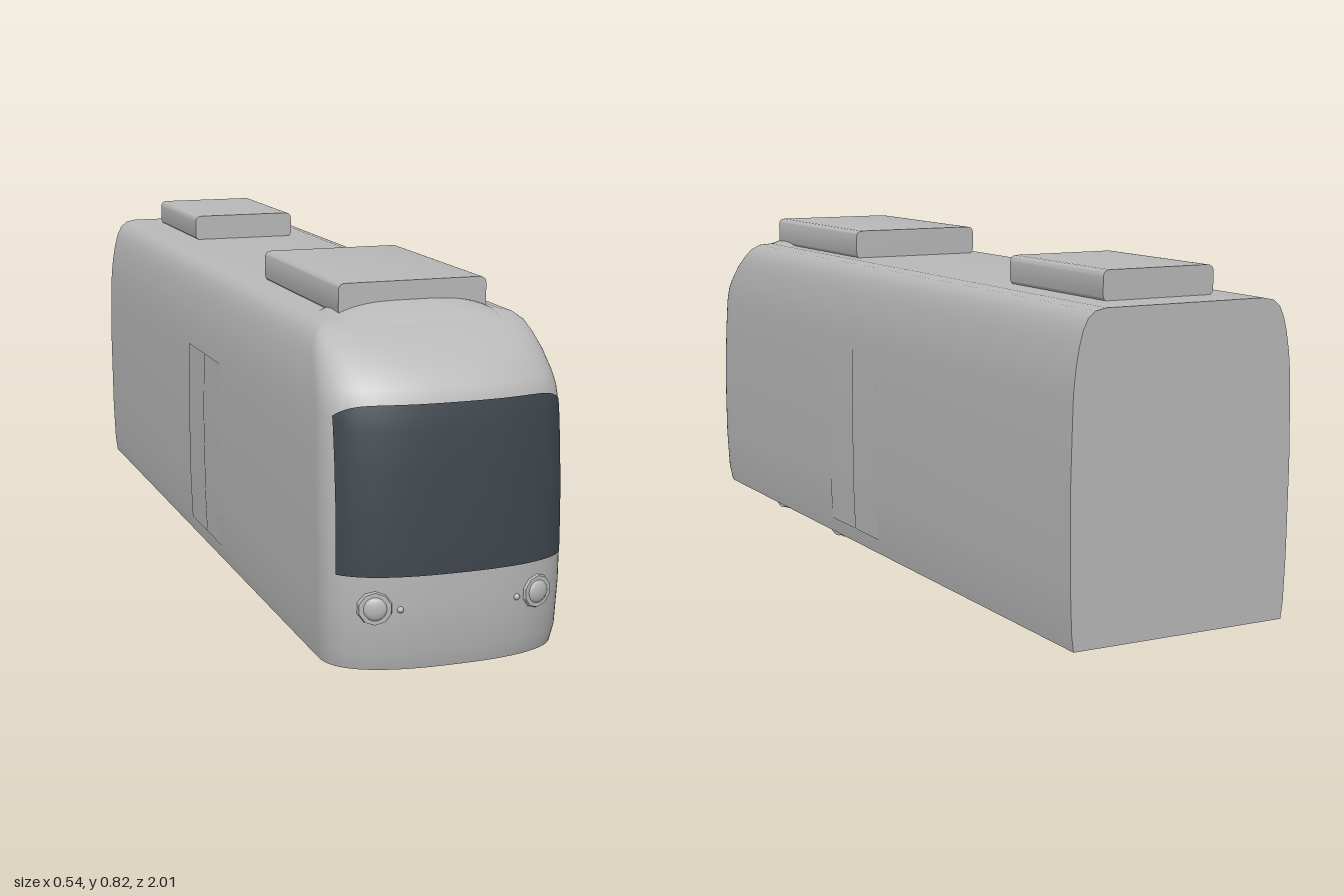
import * as THREE from 'three';
import { toCreasedNormals } from 'three/addons/utils/BufferGeometryUtils.js';

const paint = new THREE.MeshStandardMaterial({ color: 0xb8b8b8, side: THREE.DoubleSide });
paint.name = 'greyPaint';
const glass = new THREE.MeshStandardMaterial({ color: 0x3f474d, side: THREE.DoubleSide });
glass.name = 'darkGlass';

// Hull profile by height: y, half width, nose z, depth of the nose curve
const ROWS = [
  [0.063, 0.257, 0.985, 0.13], [0.1, 0.262, 0.995, 0.13], [0.2, 0.266, 1, 0.13],
  [0.3, 0.267, 1, 0.13], [0.4, 0.268, 0.996, 0.13], [0.5, 0.266, 0.99, 0.13],
  [0.58, 0.264, 0.982, 0.13], [0.615, 0.261, 0.975, 0.13], [0.64, 0.258, 0.96, 0.13],
  [0.68, 0.251, 0.92, 0.12], [0.71, 0.243, 0.875, 0.1], [0.733, 0.232, 0.83, 0.07],
  [0.747, 0.215, 0.79, 0.045], [0.752, 0.19, 0.75, 0.03],
];
const POWER = 2.5;

function rowAt(y) {
  let i = 0;
  while (i < ROWS.length - 2 && ROWS[i + 1][0] < y) i++;
  const t = (y - ROWS[i][0]) / (ROWS[i + 1][0] - ROWS[i][0]);
  return ROWS[i].map((v, k) => v + (ROWS[i + 1][k] - v) * t);
}

// z of the nose surface at x, y
function noseZ(x, y) {
  const [, w, f, d] = rowAt(y);
  const s = Math.min(1, Math.abs(x) / w);
  return f - d * (1 - (1 - s ** POWER) ** (1 / POWER));
}

function geometryFrom(pos, idx) {
  const g = new THREE.BufferGeometry();
  g.setAttribute('position', new THREE.Float32BufferAttribute(pos, 3));
  g.setIndex(idx);
  return g;
}

// Grid surface from a function of u, v in 0..1
function patch(fn, nu, nv) {
  const pos = [], idx = [];
  for (let j = 0; j <= nv; j++) for (let i = 0; i <= nu; i++) pos.push(...fn(i / nu, j / nv));
  for (let j = 0; j < nv; j++) for (let i = 0; i < nu; i++) {
    const a = j * (nu + 1) + i, d = a + nu + 1;
    idx.push(a, a + 1, d, a + 1, d + 1, d);
  }
  const g = geometryFrom(pos, idx);
  g.computeVertexNormals();
  return g;
}

// Closed hull lofted from horizontal outlines
function hullGeometry() {
  const pos = [], idx = [], seg = 40, n = seg + 3;
  for (const [y, w, f, d] of ROWS) {
    pos.push(w, y, -1);
    for (let i = 0; i <= seg; i++) {
      const a = (i / seg) * Math.PI, c = Math.cos(a);
      const x = w * Math.sign(c) * Math.abs(c) ** (2 / POWER);
      const z = f - d + d * Math.max(0, Math.sin(a)) ** (2 / POWER);
      pos.push(x, y, z);
    }
    pos.push(-w, y, -1);
  }
  for (let j = 0; j < ROWS.length - 1; j++) for (let i = 0; i < n; i++) {
    const a = j * n + i, b = j * n + (i + 1) % n;
    idx.push(a, a + n, b, b, a + n, b + n);
  }
  // Roof and floor
  const top = (ROWS.length - 1) * n;
  for (let i = 0; i < (n - 1) / 2; i++) {
    const p = i, q = n - 1 - i, r = i + 1, s = n - 2 - i;
    idx.push(top + p, top + q, top + r, top + r, top + q, top + s);
    idx.push(p, r, q, r, s, q);
  }
  return toCreasedNormals(geometryFrom(pos, idx), 0.6);
}

// Roof box with rounded long edges
function roofBox(w, y0, y1, z0, z1) {
  const r = 0.016, s = new THREE.Shape();
  s.moveTo(-w + r, y0);
  s.lineTo(w - r, y0);
  s.quadraticCurveTo(w, y0, w, y0 + r);
  s.lineTo(w, y1 - r);
  s.quadraticCurveTo(w, y1, w - r, y1);
  s.lineTo(-w + r, y1);
  s.quadraticCurveTo(-w, y1, -w, y1 - r);
  s.lineTo(-w, y0 + r);
  s.quadraticCurveTo(-w, y0, -w + r, y0);
  const g = new THREE.ExtrudeGeometry(s, { depth: z1 - z0, bevelEnabled: false, curveSegments: 5 });
  g.translate(0, 0, z0);
  return toCreasedNormals(g, 0.6);
}

export function createModel() {
  const model = new THREE.Group();
  const add = (name, geometry, material = paint, parent = model) => {
    const m = new THREE.Mesh(geometry, material);
    m.name = name;
    parent.add(m);
    return m;
  };

  add('body', hullGeometry());

  // Windscreen follows the nose, with softened upper corners
  add('windscreen', patch((u, v) => {
    const k = 2 * u - 1, x = 0.248 * k;
    const top = 0.614 - 0.025 * Math.abs(k) ** 10;
    const y = 0.266 + (top - 0.266) * v;
    return [x, y, noseZ(x, y) + 0.005];
  }, 48, 14), glass);

  // Roof equipment
  add('frontRoofBox', roofBox(0.167, 0.75, 0.82, 0.21, 0.72));
  add('rearRoofBox', roofBox(0.135, 0.75, 0.815, -0.9, -0.52));

  // Cowl swelling in front of the roof box
  const cowl = [[0.83, 0.725, 0.16], [0.78, 0.758, 0.18], [0.73, 0.778, 0.19],
    [0.68, 0.783, 0.195], [0.645, 0.775, 0.198], [0.62, 0.752, 0.2]];
  add('roofCowl', patch((u, v) => {
    const [z, y, w] = cowl[Math.round(v * 5)], k = 2 * u - 1;
    const base = Math.min(y, 0.745);
    return [w * k, base + (y - base) * (1 - Math.abs(k) ** 3.5), z];
  }, 24, 5));

  for (const side of [-1, 1]) {
    const label = side > 0 ? 'left' : 'right';

    // Double door leaves lying on the side wall
    for (const [name, z0, z1] of [['FrontDoorLeaf', 0.027, 0.16], ['RearDoorLeaf', -0.11, 0.023]]) {
      add(label + name, patch((u, v) => {
        const y = 0.1 + 0.45 * v;
        return [side * (rowAt(y)[1] + 0.0015), y, z0 + (z1 - z0) * u];
      }, 1, 9));
    }

    // Headlight: faceted rim, domed lens, small marker lamp
    const lamp = new THREE.Group();
    lamp.name = label + 'Headlight';
    lamp.position.set(side * 0.178, 0.2, noseZ(0.178, 0.2));
    lamp.rotation.y = side * 0.27;
    model.add(lamp);
    const rim = new THREE.CylinderGeometry(0.034, 0.038, 0.012, 10);
    rim.rotateX(Math.PI / 2);
    add('headlightRim', toCreasedNormals(rim, 0.3), paint, lamp);
    const lens = add('headlightLens', new THREE.SphereGeometry(0.025, 16, 10), paint, lamp);
    lens.scale.z = 0.4;
    lens.position.z = 0.004;
    const marker = add(label + 'MarkerLamp', new THREE.SphereGeometry(0.007, 12, 8));
    marker.position.set(side * 0.128, 0.196, noseZ(0.128, 0.196));

    // Wheels
    for (const [end, z] of [['Front', 0.72], ['Rear', 0.34]]) {
      const wheel = new THREE.CylinderGeometry(0.063, 0.063, 0.02, 28);
      wheel.rotateZ(Math.PI / 2);
      add(label + end + 'Wheel', toCreasedNormals(wheel, 0.6)).position.set(side * 0.163, 0.068, z);
      const flange = new THREE.CylinderGeometry(0.068, 0.068, 0.006, 28);
      flange.rotateZ(Math.PI / 2);
      add(label + end + 'WheelFlange', toCreasedNormals(flange, 0.6)).position.set(side * 0.153, 0.068, z);
    }
  }

  // Bogie frame and axles just under the floor
  add('bogieFrame', new THREE.BoxGeometry(0.38, 0.01, 0.51)).position.set(0, 0.064, 0.535);
  for (const z of [0.34, 0.72]) {
    const axle = new THREE.CylinderGeometry(0.009, 0.009, 0.31, 12);
    axle.rotateZ(Math.PI / 2);
    add('axle', axle).position.set(0, 0.064, z);
  }

  return model;
}
